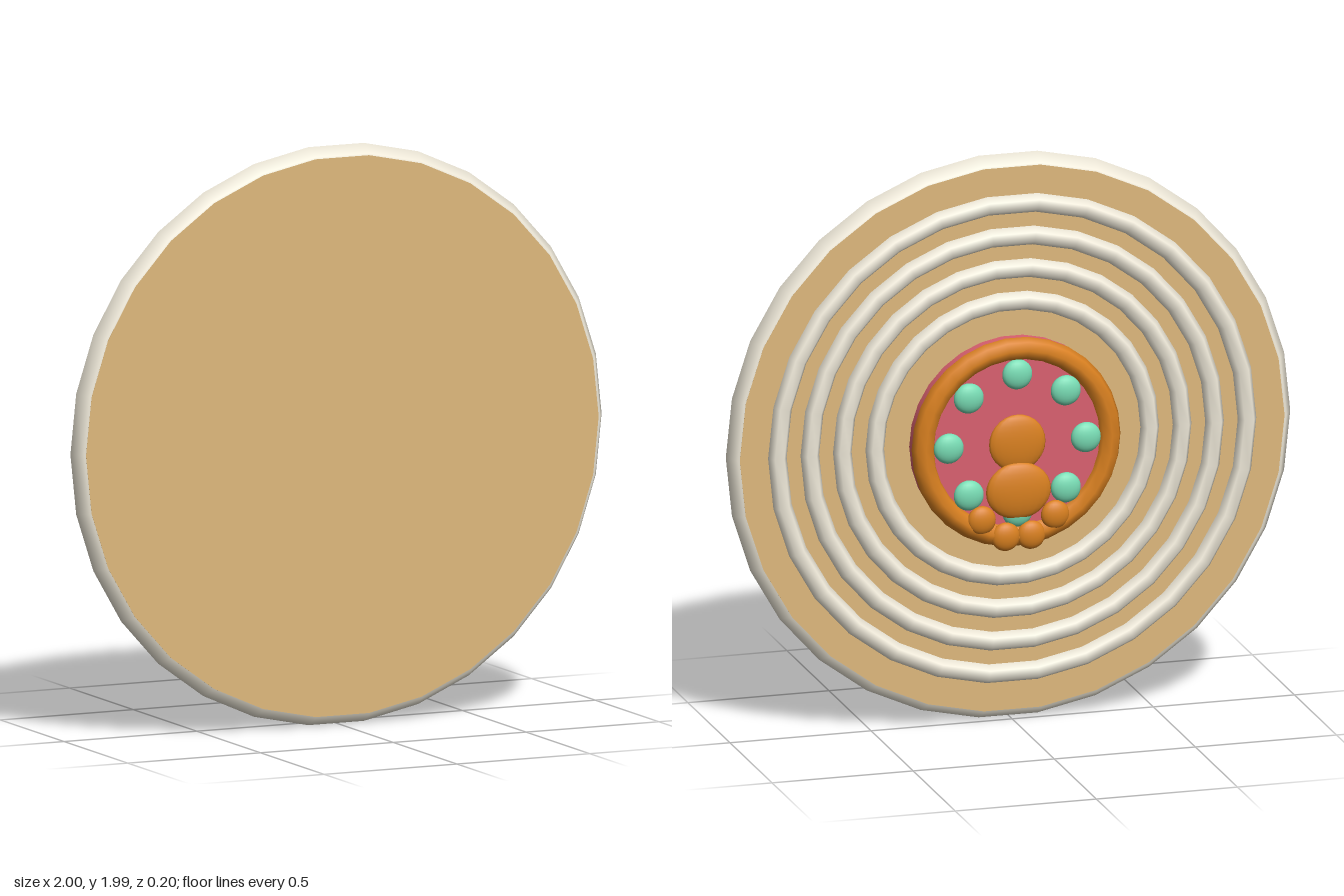
import * as THREE from 'three';

const mat = (color) => new THREE.MeshStandardMaterial({ color });

export function createModel() {
  const model = new THREE.Group();
  const tan = mat(0xdeb87c), ivory = mat(0xf2ecdc), orange = mat(0xd9801f);
  const pink = mat(0xd9606f), teal = mat(0x78dcb4);

  // Everything is laid out around the disc centre
  const shield = new THREE.Group();
  shield.name = 'shield';
  shield.position.y = 1;
  model.add(shield);

  const add = (name, geometry, material, x, y, z) => {
    const mesh = new THREE.Mesh(geometry, material);
    mesh.name = name;
    mesh.position.set(x, y, z);
    shield.add(mesh);
    return mesh;
  };
  const disc = (name, radius, z0, z1, material) =>
    add(name, new THREE.CylinderGeometry(radius, radius, z1 - z0, 30, 1, false, Math.PI / 2)
      .rotateX(Math.PI / 2), material, 0, 0, (z0 + z1) / 2);
  const ring = (name, outer, tube, z, material, sides = 6) =>
    add(name, new THREE.TorusGeometry(outer - tube, tube, sides, 30), material, 0, 0, z);
  const pebble = (name, rx, ry, rz, material, x, y, z) =>
    add(name, new THREE.SphereGeometry(1, 20, 14).scale(rx, ry, rz), material, x, y, z);

  // Main plate and rim
  disc('plate', 0.965, 0, 0.1, tan);
  ring('rim', 1, 0.057, 0.05, ivory);

  // Concentric ridges on the back
  for (let i = 0; i < 4; i++) ring('ridge', 0.865 - i * 0.115, 0.033, 0, ivory);

  // Central medallion with its border
  disc('medallion', 0.365, -0.055, 0, pink);
  ring('medallionBorder', 0.37, 0.04, -0.045, orange, 8);

  // Gems around the medallion
  for (let i = 0; i < 8; i++) {
    const a = i * Math.PI / 4;
    pebble('gem', 0.053, 0.053, 0.027, teal, 0.243 * Math.cos(a), 0.243 * Math.sin(a), -0.06);
  }

  // Raised paw: heel, pad and four toes
  pebble('heel', 0.1, 0.1, 0.025, orange, 0, 0, -0.06);
  pebble('pad', 0.115, 0.1, 0.03, orange, 0, -0.165, -0.074);
  for (const side of [-1, 1]) {
    pebble('outerToe', 0.05, 0.05, 0.025, orange, side * 0.13, -0.26, -0.073);
    pebble('innerToe', 0.05, 0.05, 0.025, orange, side * 0.045, -0.325, -0.073);
  }
  return model;
}
